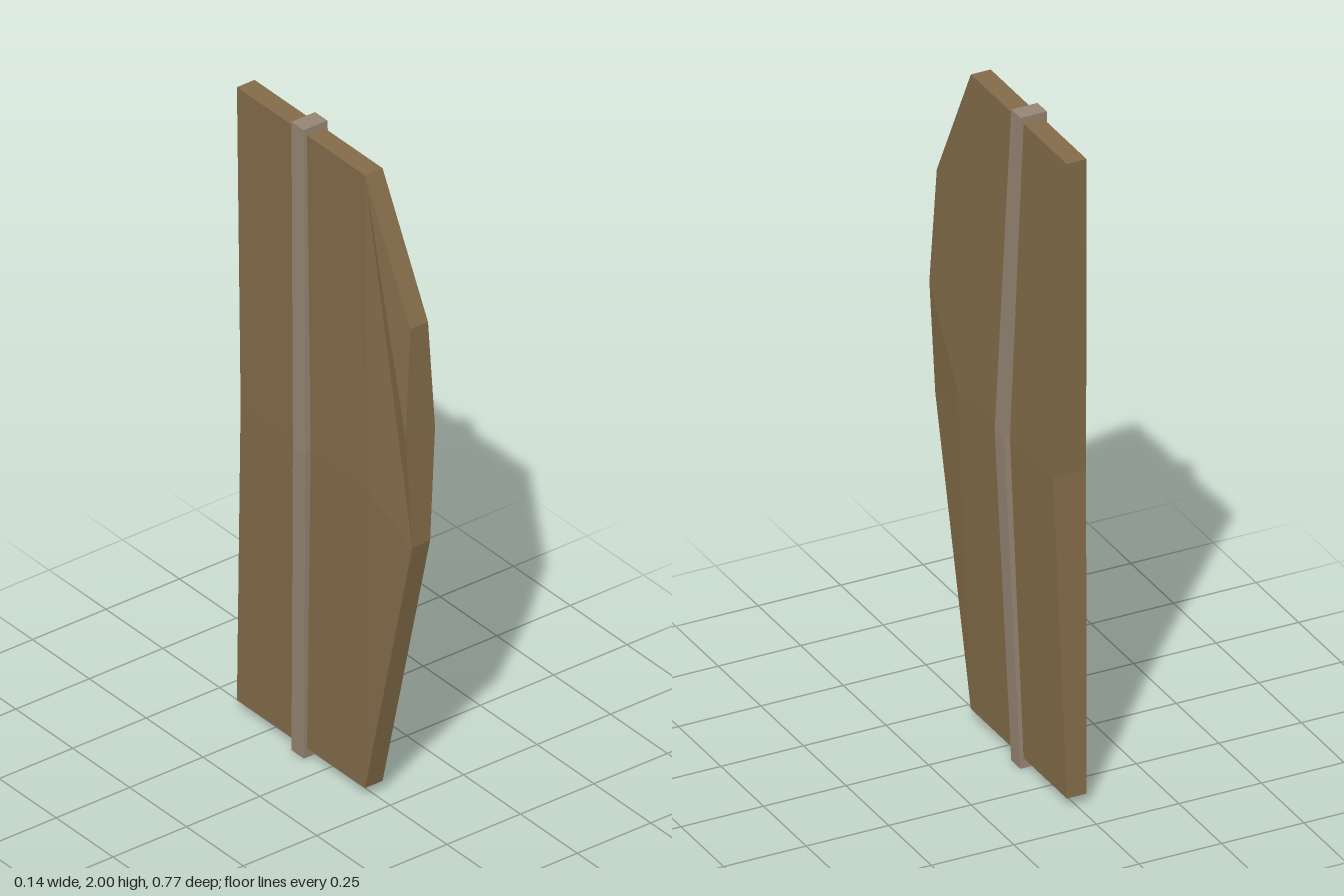
import * as THREE from 'three';

// Slab standing in the y-z plane. Points are [y, z, half thickness]; the first `rim` of them
// run round the outline, and the triangles in left and right cover the two broad sides.
function slab(name, color, points, rim, left, right = left) {
  const positions = [];
  const corner = (i, side) => {
    const [y, z, half] = points[i];
    positions.push(side * half, y, z);
  };
  for (const [a, b, c] of left) [a, b, c].forEach((i) => corner(i, 1));
  for (const [a, b, c] of right) [a, c, b].forEach((i) => corner(i, -1));
  // Rim between the two sides
  for (let i = 0; i < rim; i++) {
    const j = (i + 1) % rim;
    corner(j, 1); corner(i, 1); corner(i, -1);
    corner(j, 1); corner(i, -1); corner(j, -1);
  }
  const geometry = new THREE.BufferGeometry();
  geometry.setAttribute('position', new THREE.Float32BufferAttribute(positions, 3));
  geometry.computeVertexNormals();
  const mesh = new THREE.Mesh(geometry, new THREE.MeshStandardMaterial({ color, flatShading: true }));
  mesh.name = name;
  return mesh;
}

export function createModel() {
  const group = new THREE.Group();
  group.name = 'bentBoard';

  // Board: bent straight back, angular front, thickest at mid height
  const board = [
    [1.98, -0.385, 0.03], // top back
    [1.98, 0.178, 0.03], // top front
    [1.59, 0.378, 0.03], // upper front corner
    [1.25, 0.383, 0.05], // front bulge
    [0.9, 0.387, 0.03], // lower front corner
    [0.03, 0.178, 0.03], // bottom front
    [0.03, -0.385, 0.03], // bottom back
    [1.0, -0.343, 0.05], // back bend
    [1.0, 0.22, 0.05], // inner ridge point
  ];
  const back = [[0, 1, 8], [0, 8, 7], [7, 8, 5], [7, 5, 6]];
  group.add(slab('board', 0x826b48, board, 8,
    [...back, [1, 2, 3], [1, 3, 8], [8, 3, 4], [8, 4, 5]],
    [...back, [1, 2, 3], [1, 3, 4], [8, 1, 4], [8, 4, 5]]));

  // Strip: narrow band wrapped round the board along its bend
  const strip = [
    [2, -0.132, 0.04], [2, -0.078, 0.04], [1, -0.035, 0.068],
    [0, -0.078, 0.04], [0, -0.132, 0.04], [1, -0.09, 0.068],
  ];
  group.add(slab('centreStrip', 0x948472, strip, 6, [[0, 1, 2], [0, 2, 5], [5, 2, 3], [5, 3, 4]]));

  return group;
}
